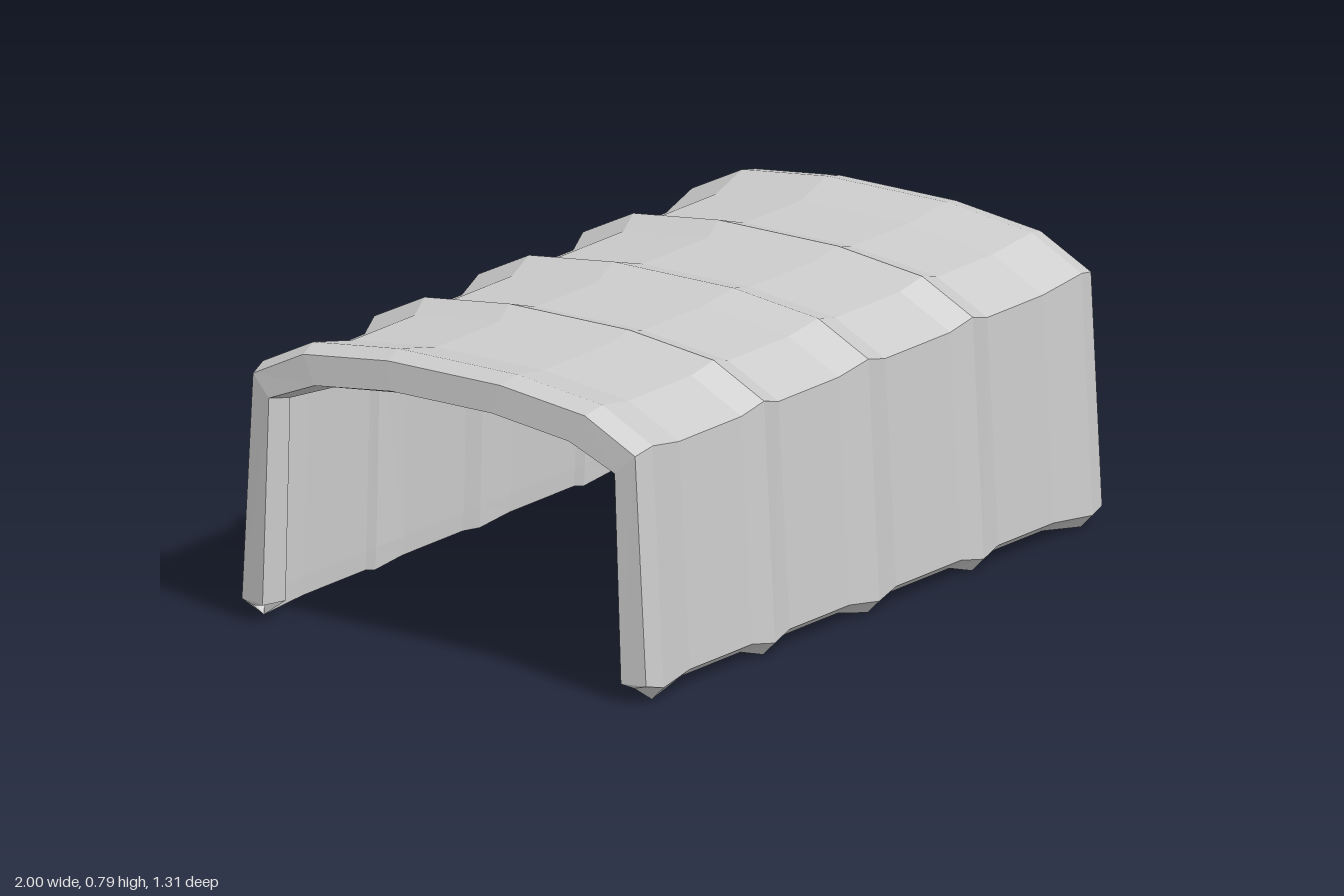
import * as THREE from 'three';

// Half sections as [z, y], from the lower edge of the wall to the crown.
const OUTER = [[0.617, 0], [0.655, 0.038], [0.62, 0.68], [0.46, 0.76], [0.19, 0.792]];
const LINING = [[0.617, 0], [0.614, 0.06], [0.6, 0.657], [0.45, 0.737], [0.185, 0.77]];
const RIM = [[0.57, 0.05], [0.57, 0.052], [0.55, 0.61], [0.405, 0.67], [0.16, 0.7]];
const LIP = [[0.552, 0.048], [0.552, 0.048], [0.537, 0.595], [0.393, 0.65], [0.147, 0.677]];
const SAG = 0.027; // how far the cloth dips between the hoops
const PANEL_X = 0.965; // closed end
const LIP_X = -0.925; // open end

// Stations of the cloth: x, hoop height (1 on a hoop, 0 between), lift of the hem.
const STATIONS = [
  [-0.99, 0.4, 0.03], [-0.93, 1, 0],
  [-0.79, 0, 0], [-0.52, 0, 0], [-0.45, 1, 0], [-0.36, 0, 0],
  [-0.1, 0, 0], [0, 1, 0], [0.1, 0, 0],
  [0.38, 0, 0], [0.45, 1, 0], [0.54, 0, 0], [0.78, 0, 0],
  [0.92, 1, 0], [0.97, 0.65, 0.03],
];

// Full arch at x from a half section, front foot over the crown to the back foot.
function arch(x, half) {
  const front = half.map(([z, y]) => [x, y, z]);
  const back = half.map(([z, y]) => [x, y, -z]).reverse();
  return [...front, ...back];
}

// A cloth section, drawn in between hoops; the folded hem rises a little there.
function clothArch([x, hoop, lift], half) {
  const dip = (1 - hoop) * SAG;
  const rise = [dip * 0.75 + lift, dip * 0.4 + lift * 0.3];
  return arch(x, half.map(([z, y], i) => [z - dip * 0.75, y + (rise[i] ?? -dip)]));
}

function indexed(points, index) {
  const g = new THREE.BufferGeometry();
  g.setAttribute('position', new THREE.Float32BufferAttribute(points.flat(), 3));
  g.setIndex(index);
  g.computeVertexNormals();
  return g;
}

// Sheet drawn through a row of arches.
function loft(rings) {
  const n = rings[0].length;
  const index = [];
  for (let i = 0; i < rings.length - 1; i++) {
    for (let j = 0; j < n - 1; j++) {
      const a = i * n + j, b = a + n;
      index.push(a, b, b + 1, a, b + 1, a + 1);
    }
  }
  return indexed(rings.flat(), index);
}

// Outside: lip and rim at one end, cloth over the hoops, rim and lip at the other.
const coverGeometry = () => loft([
  arch(LIP_X, LIP), arch(-1, RIM),
  ...STATIONS.map((s) => clothArch(s, OUTER)),
  arch(1, RIM), arch(PANEL_X, LIP),
]);

// Inside: from lip to lip, following the same hoops and meeting the hem.
const liningGeometry = () => loft([
  arch(LIP_X, LIP),
  ...STATIONS.slice(1, -1).map((s) => clothArch(s, LINING)),
  arch(PANEL_X, LIP),
]);

// Lower edge of the end wall, bowed slightly downwards, as [z, y].
const SILL = [[0.552, 0.048], [0, 0.03], [-0.552, 0.048]];

// End wall filling the arch inside the lip.
function endPanelGeometry() {
  const half = LIP.slice(1).map(([z, y]) => new THREE.Vector2(z, y));
  const mirror = half.map((p) => new THREE.Vector2(-p.x, p.y)).reverse();
  const shape = new THREE.Shape([...half, ...mirror, new THREE.Vector2(...SILL[1])]);
  return new THREE.ShapeGeometry(shape).rotateY(Math.PI / 2).translate(PANEL_X, 0, 0);
}

// Hem folded inwards along the lower edge of the end wall.
function endHemGeometry() {
  const points = [PANEL_X, PANEL_X - 0.07].flatMap((x) => SILL.map(([z, y]) => [x, y, z]));
  return indexed(points, [0, 3, 4, 0, 4, 1, 1, 4, 5, 1, 5, 2]);
}

export function createModel() {
  const model = new THREE.Group();
  model.name = 'wagonCover';
  const material = new THREE.MeshStandardMaterial({
    color: 0xcccccc, flatShading: true, side: THREE.DoubleSide,
  });
  const add = (name, geometry) => {
    const mesh = new THREE.Mesh(geometry, material);
    mesh.name = name;
    model.add(mesh);
  };
  add('ribbedCover', coverGeometry());
  add('lining', liningGeometry());
  add('endPanel', endPanelGeometry());
  add('endPanelHem', endHemGeometry());
  return model;
}
